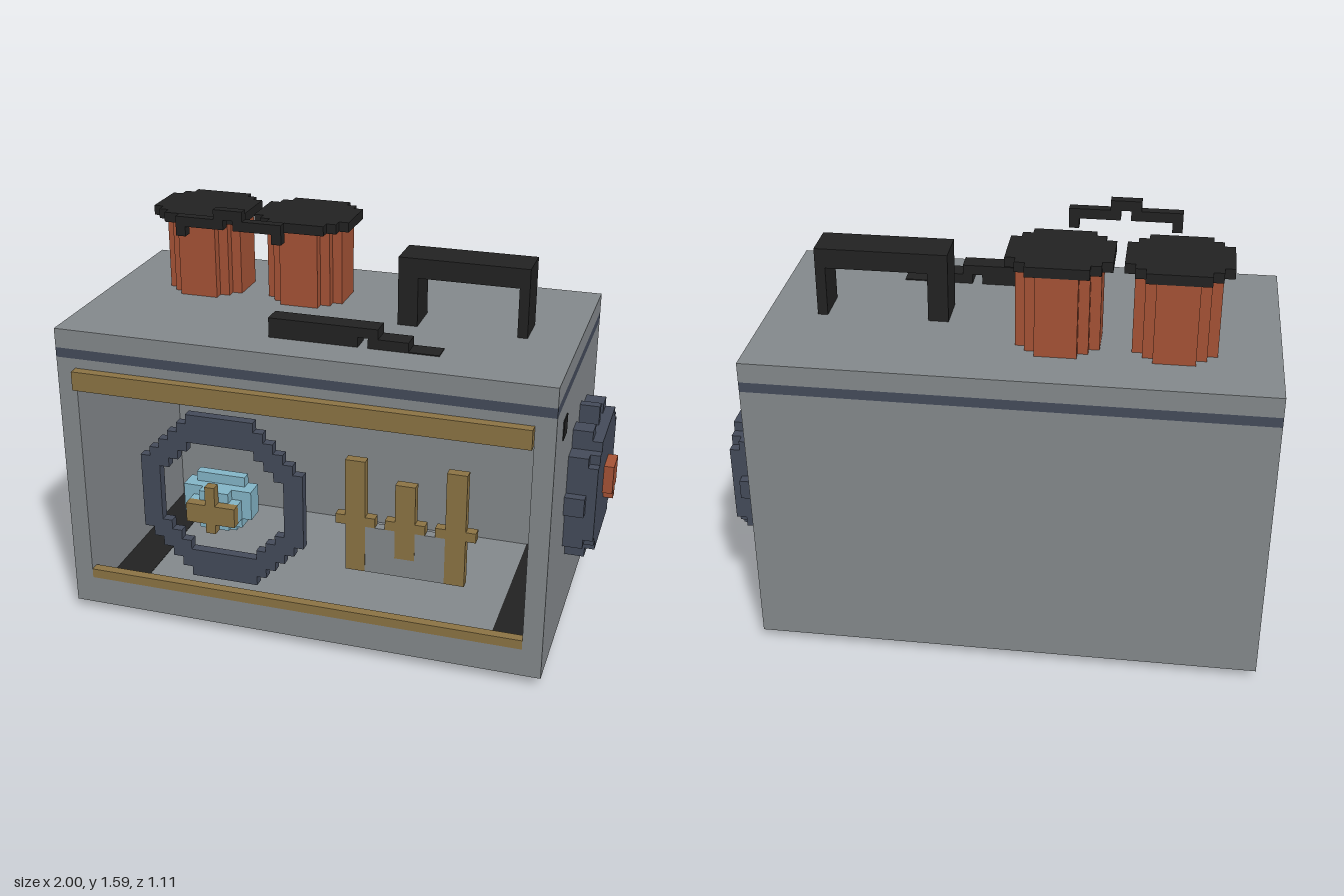
import * as THREE from 'three';

const U = 2 / 54; // one block of the blocky grid
const mat = (name, color) => {
  const m = new THREE.MeshStandardMaterial({ color });
  m.name = name;
  return m;
};

// Outline of stacked rows [lo, hi], each one block high, from height v0 up
function rowPath(rows, v0, PathType) {
  const right = [], left = [];
  rows.forEach(([lo, hi], r) => {
    right.push(new THREE.Vector2(hi, v0 + r), new THREE.Vector2(hi, v0 + r + 1));
    left.push(new THREE.Vector2(lo, v0 + r), new THREE.Vector2(lo, v0 + r + 1));
  });
  const pts = right.concat(left.reverse())
    .filter((p, i, a) => !p.equals(a[(i + 1) % a.length]));
  return new PathType(pts);
}

// Rows for a stepped disc: widths grow by one block a side, then stay full
function discRows(lo, hi, count, steps) {
  return Array.from({ length: count }, (_, r) => {
    const inset = Math.max(0, steps - Math.min(r, count - 1 - r));
    return [lo + inset, hi - inset];
  });
}

export function createModel() {
  const grey = mat('greyMetal', 0x84898c);
  const navy = mat('navyMetal', 0x444b5a);
  const gold = mat('dullGold', 0x8c7444);
  const black = mat('black', 0x222222);
  const rust = mat('rust', 0xa65336);
  const blue = mat('paleBlue', 0x84b6c8);

  const root = new THREE.Group();
  const g = new THREE.Group();
  g.name = 'machine';
  g.scale.setScalar(U);
  g.position.set(-27 * U, 0, -15 * U);
  root.add(g);

  const add = (name, m, geo) => {
    const mesh = new THREE.Mesh(geo, m);
    mesh.name = name;
    g.add(mesh);
    return mesh;
  };
  // Box between two block corners
  const box = (name, m, x0, y0, z0, x1, y1, z1) =>
    add(name, m, new THREE.BoxGeometry(x1 - x0, y1 - y0, z1 - z0)
      .translate((x0 + x1) / 2, (y0 + y1) / 2, (z0 + z1) / 2));
  const extrude = (rows, v0, depth, hole, holeV0) => {
    const s = rowPath(rows, v0, THREE.Shape);
    if (hole) s.holes.push(rowPath(hole, holeV0, THREE.Path));
    return new THREE.ExtrudeGeometry(s, { depth, bevelEnabled: false });
  };
  const slabZ = (name, m, rows, y0, z0, z1) =>
    add(name, m, extrude(rows, y0, z1 - z0).translate(0, 0, z0));
  const slabX = (name, m, rows, y0, x0, x1) =>
    add(name, m, extrude(rows.map(([a, b]) => [-b, -a]), y0, x1 - x0)
      .rotateY(Math.PI / 2).translate(x0, 0, 0));
  const slabY = (name, m, rows, z0, y0, y1) =>
    add(name, m, extrude(rows.slice().reverse(), -z0 - rows.length, y1 - y0)
      .rotateX(-Math.PI / 2).translate(0, y0, 0));

  // Hollow case, open at the front
  box('floor', grey, 0, 1, 0, 50, 2, 26);
  box('backWall', grey, 0, 2, 0, 50, 29, 2);
  box('rightWall', grey, 0, 2, 2, 2, 29, 26);
  box('leftWall', grey, 48, 2, 2, 50, 29, 26);
  box('ceiling', grey, 2, 28, 2, 48, 29, 26);
  box('frontLip', grey, 2, 2, 25, 48, 4, 26);
  box('stripe', navy, 0, 29, 0, 50, 30, 26);
  box('topPlate', grey, 0, 30, 0, 50, 32, 26);
  box('upperTrim', gold, 2, 26, 26, 48, 28, 27);
  box('lowerTrim', gold, 2, 4, 25, 48, 5, 26);
  for (const x of [1, 44]) box('foot', black, x, 0, 2, x + 5, 2.05, 24);

  // Front ring
  add('frontRing', navy, extrude(discRows(9, 26, 18, 5), 7, 1,
    discRows(11, 24, 12, 3), 10).translate(0, 0, 26));

  // Stepped hub with a cross on it
  slabZ('hubBase', blue,
    [[16, 19], [15, 20], [14, 21], [14, 21], [14, 21], [15, 20]], 13, 26, 27);
  slabZ('hubMiddle', blue, [[15, 20], [14, 21], [14, 21], [14, 21]], 14, 27, 28);
  slabZ('hubFront', blue, [[16, 19], [15, 20], [15, 20], [16, 19]], 14, 28, 29);
  slabZ('hubCross', gold,
    [[17, 18], [15, 20], [15, 20], [17, 18], [17, 18]], 14, 29, 30);

  // Three sliders joined by a grey panel
  for (const [x, y0, y1] of [[30, 10, 22], [35, 12, 20], [40, 10, 22]]) {
    box('sliderBar', gold, x, y0, 25, x + 2, y1, 26);
    for (const side of [x - 1, x + 2])
      box('sliderKnob', gold, side, 15, 25, side + 1, 16, 26);
  }
  box('sliderPanel', grey, 32, 10, 25, 35, 15, 25.98);
  box('sliderPanel', grey, 37, 10, 25, 40, 15, 25.98);
  box('sliderPanel', grey, 35, 10, 25, 37, 12, 25.98);

  // Toothed dial on the left side
  slabX('dial', navy, discRows(4, 17, 12, 2), 10, 50, 53);
  for (const y of [8, 22]) box('dialTooth', navy, 50, y, 10, 52, y + 2, 11);
  for (const z of [3, 17]) box('dialTooth', navy, 50, 15, z, 52, 17, z + 1);
  for (const z of [6, 13])
    for (const y of [9, 21]) box('dialTooth', navy, 50, y, z, 52, y + 2, z + 2);
  for (const z of [4, 15])
    for (const y of [11, 19]) box('dialTooth', navy, 50, y, z, 52, y + 2, z + 2);
  slabX('dialKnob', rust, [[10, 11], [9, 12], [9, 12], [9, 12]], 14, 53, 54);
  box('sidePort', black, 50, 25, 20, 50.1, 27, 22);

  // Two canisters with lids
  for (const x of [5, 16]) {
    slabY('canister', rust, discRows(x + 1, x + 9, 8, 2), 5, 32, 40);
    slabY('canisterLid', black, discRows(x, x + 10, 9, 2), 5, 40, 41);
  }

  // Carrying handle
  box('handleGrip', black, 32, 37, 11, 45, 39, 15);
  box('handleLeg', black, 32, 32, 11, 34, 37, 15);
  box('handleLeg', black, 44, 32, 11, 45, 37, 15);

  // Lever lying on the top
  box('leverArm', black, 21, 32, 20, 30, 34, 22);
  box('leverBridge', black, 30, 33, 20, 32, 34, 22);
  box('leverTip', black, 31, 32, 20, 35, 33, 22);
  box('leverSlot', black, 35, 32, 20, 38, 32.1, 22);

  // Thin stepped bail above the canisters
  box('bailTop', black, 14, 42, 17, 17, 43, 18);
  for (const [a, b, end] of [[10, 15, 10], [16, 21, 20]]) {
    box('bailArm', black, a, 41, 17, b, 42, 18);
    box('bailEnd', black, end, 40, 17, end + 1, 41, 18);
  }
  return root;
}
